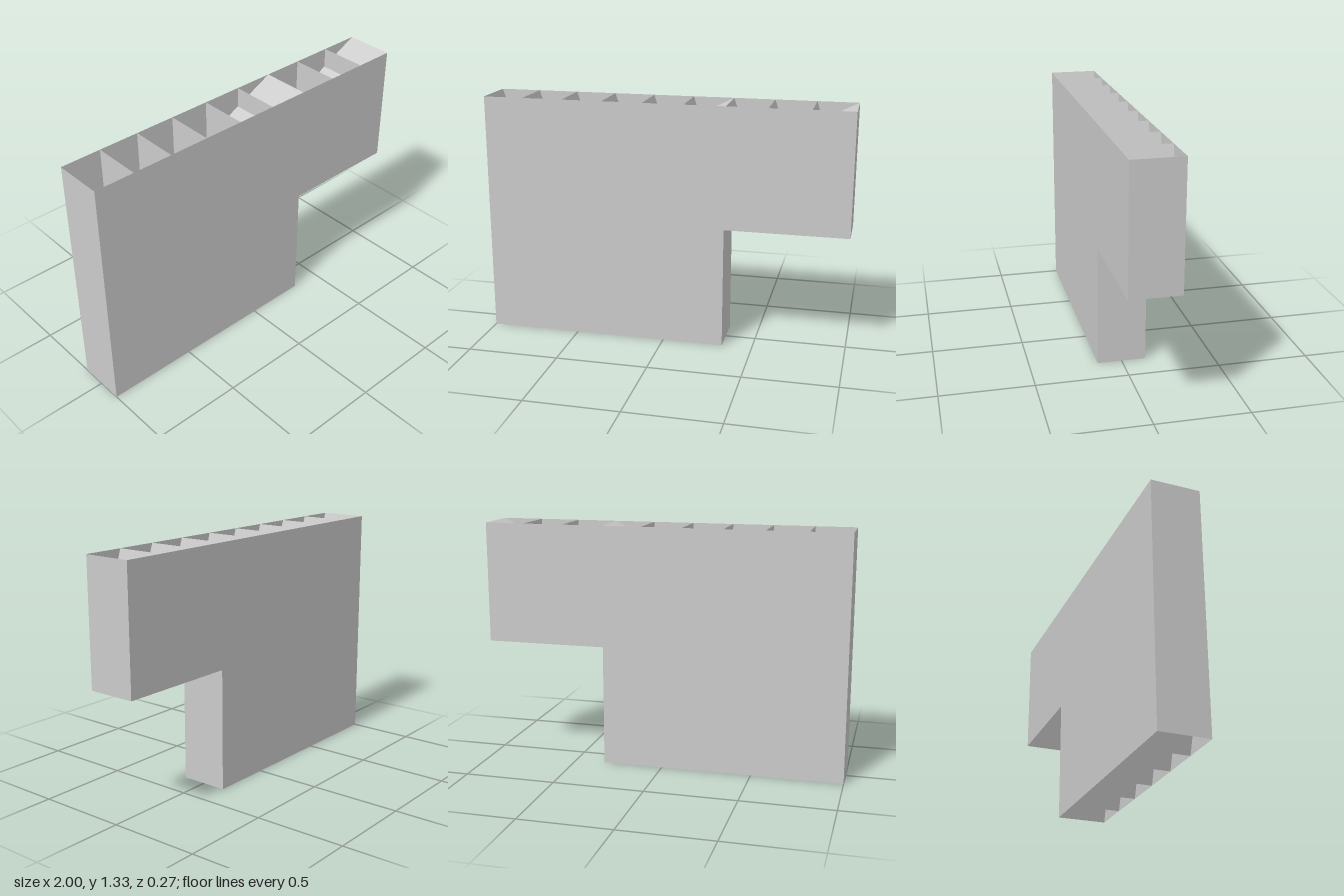
import * as THREE from 'three';

const H = 2 / 3;        // course height
const STEP = 2 / 9;     // rib spacing
const D = 0.133;        // half depth

const material = new THREE.MeshStandardMaterial({
  color: 0xcccccc, flatShading: true, side: THREE.DoubleSide,
});

// Thin sheet following an x,y path, spanning the full depth
function sheet(name, path) {
  const pos = [];
  for (let i = 0; i + 1 < path.length; i++) {
    const [ax, ay] = path[i];
    const [bx, by] = path[i + 1];
    pos.push(ax, ay, D, bx, by, D, bx, by, -D, ax, ay, D, bx, by, -D, ax, ay, -D);
  }
  const geometry = new THREE.BufferGeometry();
  geometry.setAttribute('position', new THREE.Float32BufferAttribute(pos, 3));
  geometry.computeVertexNormals();
  const mesh = new THREE.Mesh(geometry, material);
  mesh.name = name;
  return mesh;
}

// Upright ribs joined by slanted ones: up at each step, then down to the next
function zigzag(x0, y0, count) {
  const path = [];
  for (let i = 0; i <= count; i++) {
    const x = x0 + i * STEP;
    path.push([x, y0], [x, y0 + H]);
  }
  return path;
}

export function createModel() {
  const group = new THREE.Group();
  group.name = 'ribbedPanel';

  // Stepped front and back skins
  const outline = new THREE.Shape([
    [-1, 0], [1 / 3, 0], [1 / 3, H], [1, H], [1, 2 * H], [-1, 2 * H],
  ].map(([x, y]) => new THREE.Vector2(x, y)));
  for (const side of [1, -1]) {
    const skin = new THREE.Mesh(new THREE.ShapeGeometry(outline), material);
    skin.name = side > 0 ? 'frontSkin' : 'backSkin';
    // Mirror the back so that it faces outward
    if (side < 0) {
      skin.geometry.scale(-1, 1, 1);
      const index = skin.geometry.index;
      for (let i = 0; i < index.count; i += 3) {
        const a = index.getX(i);
        index.setX(i, index.getX(i + 1));
        index.setX(i + 1, a);
      }
      skin.geometry.computeVertexNormals();
      skin.rotation.y = Math.PI;
    }
    skin.position.z = side * D;
    group.add(skin);
  }

  // Ribs of the two courses, including the end walls
  group.add(sheet('lowerRibs', zigzag(-1, 0, 6)));
  group.add(sheet('upperRibs', zigzag(-1, H, 9)));

  // Long sloping braces, each crossing six bays
  for (const [name, x, y] of [
    ['lowerBrace', -1, 0], ['upperRightBrace', -1, H], ['upperLeftBrace', -1 / 3, H],
  ]) {
    group.add(sheet(name, [[x, y], [x + 6 * STEP, y + H]]));
  }

  return group;
}
